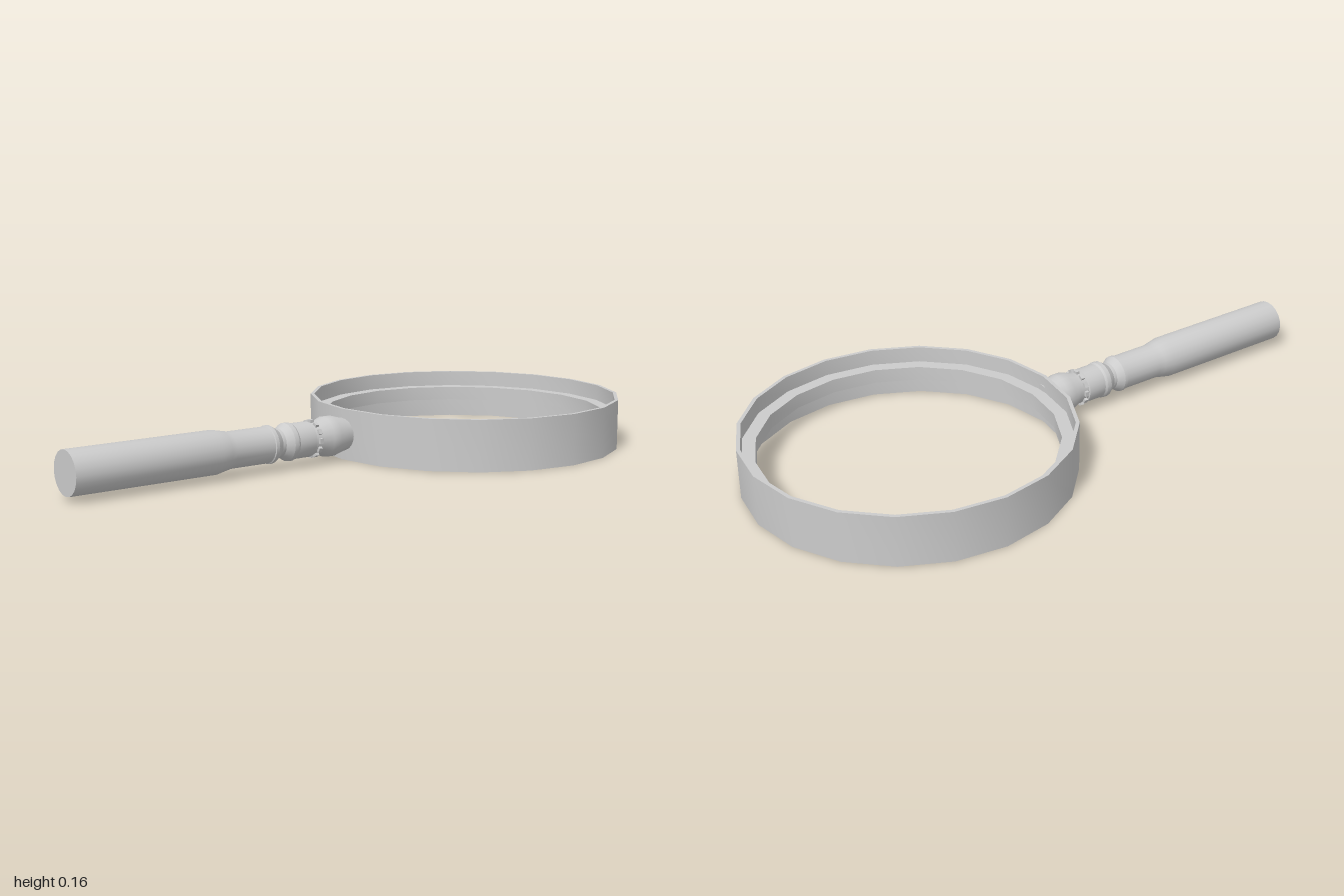
import * as THREE from 'three';
import { toCreasedNormals } from 'three/addons/utils/BufferGeometryUtils.js';

const material = new THREE.MeshStandardMaterial({ color: 0xcccccc });

// Turned part from [radius, height] pairs, with sharp edges kept
function turned(profile, sides) {
  const points = profile.map(([r, h]) => new THREE.Vector2(r, h));
  return toCreasedNormals(new THREE.LatheGeometry(points, sides), 0.5);
}

function addMesh(parent, name, geometry) {
  const mesh = new THREE.Mesh(geometry, material);
  mesh.name = name;
  parent.add(mesh);
  return mesh;
}

export function createModel() {
  const model = new THREE.Group();
  model.name = 'magnifyingGlass';

  // Everything is laid out around the rim centre, with the handle along +z
  const glass = new THREE.Group();
  glass.name = 'rimAndHandle';
  glass.position.set(0, 0.0815, -0.485);
  glass.rotation.y = 0.0236;
  model.add(glass);

  // Thin rim wall with an inner ledge that seats the lens
  const h = 0.0815;
  addMesh(glass, 'rim', turned([
    [0.503, -h], [0.515, -h], [0.515, h], [0.503, h],
    [0.503, 0.03], [0.462, 0.03], [0.462, -0.016], [0.503, -0.016], [0.503, -h],
  ], 20));

  // Handle: flared neck, collar, waist, then the grip
  const handle = addMesh(glass, 'handle', turned([
    [0, 0.5], [0.05, 0.5], [0.054, 0.525], [0.064, 0.56], [0.064, 0.59],
    [0.052, 0.62], [0.052, 0.65], [0.056, 0.652], [0.056, 0.715],
    [0.06, 0.722], [0.06, 0.737], [0.045, 0.76], [0.045, 0.772],
    [0.06, 0.795], [0.06, 0.806], [0.057, 0.808], [0.057, 0.945],
    [0.061, 0.965], [0.068, 1.0], [0.068, 1.485], [0, 1.485],
  ], 20));
  handle.rotation.x = Math.PI / 2;

  // Ring of small studs around the collar
  const studs = new THREE.Group();
  studs.name = 'collarStuds';
  studs.position.z = 0.637;
  glass.add(studs);
  const count = 12;
  const studGeometry = new THREE.BoxGeometry(0.016, 0.016, 0.012);
  for (let i = 0; i < count; i++) {
    const a = (i / count) * Math.PI * 2;
    const stud = addMesh(studs, 'collarStud', studGeometry);
    stud.position.set(Math.cos(a) * 0.052, Math.sin(a) * 0.052, 0);
    stud.rotation.z = a;
  }

  return model;
}
